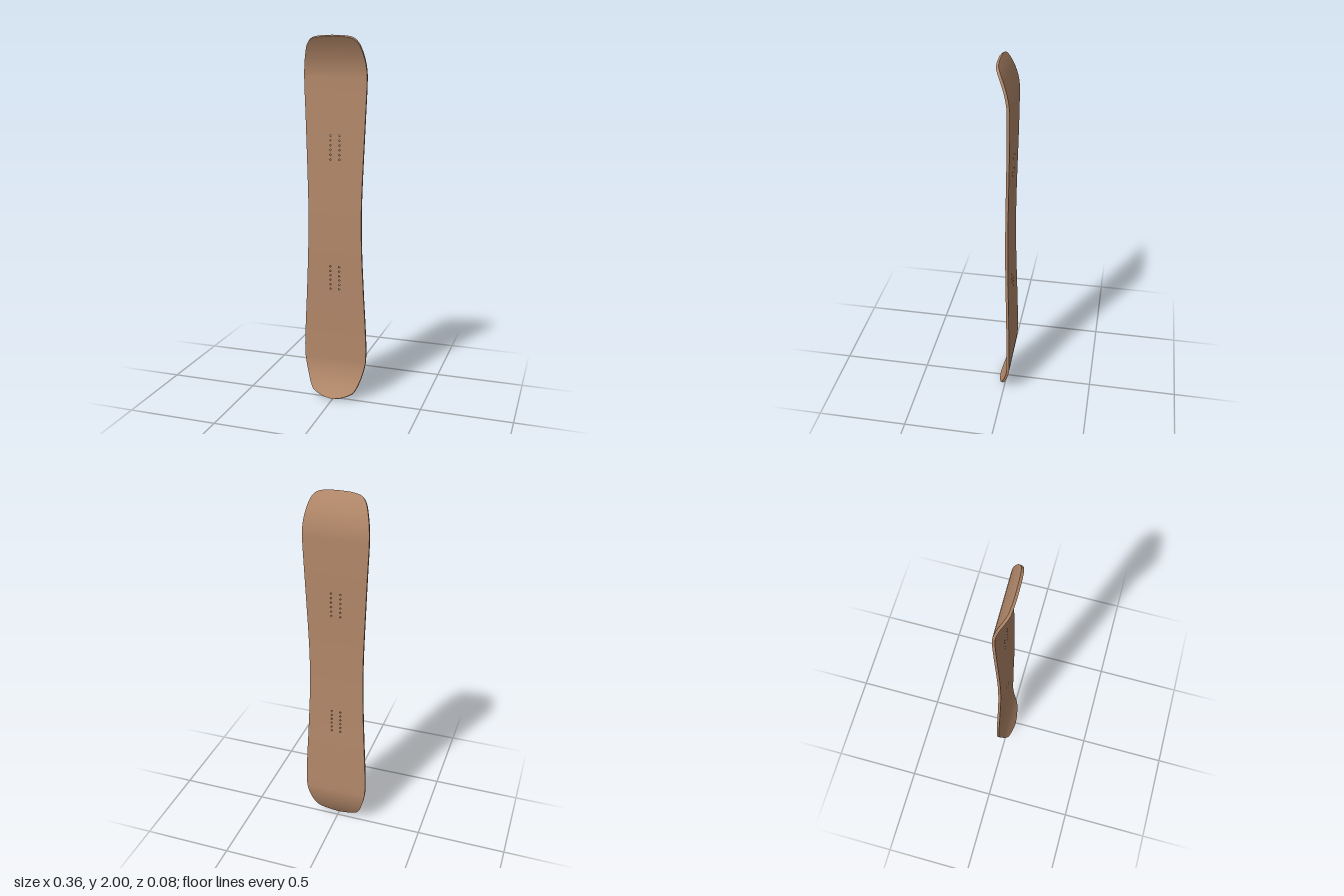
import * as THREE from 'three';
import { mergeGeometries } from 'three/addons/utils/BufferGeometryUtils.js';

const THICKNESS = 0.014;
const TWIST = 0.017;

// Half width and height along the board, from the tail up to the nose
const OUTLINE = [
  [0, 0.005], [0.055, 0.016], [0.112, 0.042], [0.13, 0.065], [0.155, 0.13], [0.174, 0.21],
  [0.178, 0.28], [0.174, 0.4], [0.158, 0.7], [0.15, 0.93], [0.149, 1.1], [0.156, 1.35],
  [0.166, 1.62], [0.171, 1.76], [0.17, 1.82], [0.16, 1.89], [0.138, 1.957], [0.112, 1.983],
  [0.06, 1.994], [0, 1.996],
];

// Insert holes: two packs of two columns by six rows
const PACKS = [0.701, 1.418];
const HOLE_RADIUS = 0.0045;
const HOLE_STEP = 0.0255;
const PACK_HALF = 0.074;

// Depth of the board's middle layer: gentle camber, both ends curling forward
function depth(y) {
  const a = Math.abs(y - 1);
  const camber = (1 - Math.cos(Math.PI * Math.min(a / 0.78, 1))) / 2;
  const curl = Math.max(0, (a - 0.78) / 0.216);
  return -0.02 - 0.012 * camber + 0.067 * curl ** 1.9;
}

function normalAt(y) {
  const slope = (depth(y + 0.001) - depth(y - 0.001)) / 0.002;
  return new THREE.Vector3(TWIST, -slope, 1).normalize();
}

// Place a flat (x, y) point on the front (side = 1) or back (side = -1) surface
function place(x, y, side) {
  const p = new THREE.Vector3(x, y, depth(y) - TWIST * x);
  return p.addScaledVector(normalAt(y), (side * THICKNESS) / 2);
}

// Bend a flat shape onto one face of the board
function face(shape, side) {
  const geo = new THREE.ShapeGeometry(shape, 10);
  const pos = geo.attributes.position;
  const nor = geo.attributes.normal;
  for (let i = 0; i < pos.count; i++) {
    const x = pos.getX(i), y = pos.getY(i);
    const p = place(x, y, side);
    const n = normalAt(y).multiplyScalar(side);
    pos.setXYZ(i, p.x, p.y, p.z);
    nor.setXYZ(i, n.x, n.y, n.z);
  }
  if (side < 0) geo.setIndex(Array.from(geo.index.array).reverse());
  return geo;
}

// Wall joining front and back around a closed loop of points
function wall(loop) {
  const verts = [], index = [];
  loop.forEach((p, i) => {
    verts.push(...place(p.x, p.y, 1).toArray(), ...place(p.x, p.y, -1).toArray());
    const a = 2 * i, b = 2 * ((i + 1) % loop.length);
    index.push(a, a + 1, b + 1, a, b + 1, b);
  });
  const geo = new THREE.BufferGeometry();
  geo.setAttribute('position', new THREE.Float32BufferAttribute(verts, 3));
  geo.setIndex(index);
  geo.computeVertexNormals();
  return geo;
}

// Clockwise circles, so that their walls face inward
function holeLoops(centreY) {
  const loops = [];
  for (const x of [-0.025, 0.025]) {
    for (let row = 0; row < 6; row++) {
      const y = centreY + (row - 2.5) * HOLE_STEP;
      loops.push(Array.from({ length: 10 }, (_, i) => {
        const t = (-i / 10) * Math.PI * 2;
        return new THREE.Vector2(x + HOLE_RADIUS * Math.cos(t), y + HOLE_RADIUS * Math.sin(t));
      }));
    }
  }
  return loops;
}

export function createModel() {
  const group = new THREE.Group();
  group.name = 'snowboard';
  const wood = new THREE.MeshStandardMaterial({ color: 0xb58a6b });
  wood.name = 'tan wood';

  // Smooth edge points, leaving each hole pack inside one unbroken strip
  const curve = new THREE.CatmullRomCurve3(OUTLINE.map(([x, y]) => new THREE.Vector3(x, y, 0)));
  const edge = curve.getPoints(114)
    .filter((p) => PACKS.every((c) => Math.abs(p.y - c) > PACK_HALF))
    .map((p) => new THREE.Vector2(Math.max(0, p.x), p.y));
  edge[0].x = edge[edge.length - 1].x = 0;
  const mirror = (p) => new THREE.Vector2(-p.x, p.y);

  // Front and back faces, strip by strip
  const fronts = [], backs = [], bores = [];
  for (let i = 0; i < edge.length - 1; i++) {
    const a = edge[i], b = edge[i + 1];
    const corners = [a, b];
    if (b.x > 0) corners.push(mirror(b));
    if (a.x > 0) corners.push(mirror(a));
    const strip = new THREE.Shape(corners);
    const pack = PACKS.find((c) => c > a.y && c < b.y);
    if (pack) {
      for (const loop of holeLoops(pack)) {
        strip.holes.push(new THREE.Path(loop));
        bores.push(wall(loop));
      }
    }
    fronts.push(face(strip, 1));
    backs.push(face(strip, -1));
  }

  // Rail around the whole outline
  const rail = wall([...edge, ...edge.slice(1, -1).reverse().map(mirror)]);

  const parts = {
    topSheet: mergeGeometries(fronts),
    baseSheet: mergeGeometries(backs),
    insertHoles: mergeGeometries(bores),
    edgeRail: rail,
  };
  for (const [name, geo] of Object.entries(parts)) {
    const mesh = new THREE.Mesh(geo, wood);
    mesh.name = name;
    group.add(mesh);
  }
  return group;
}
